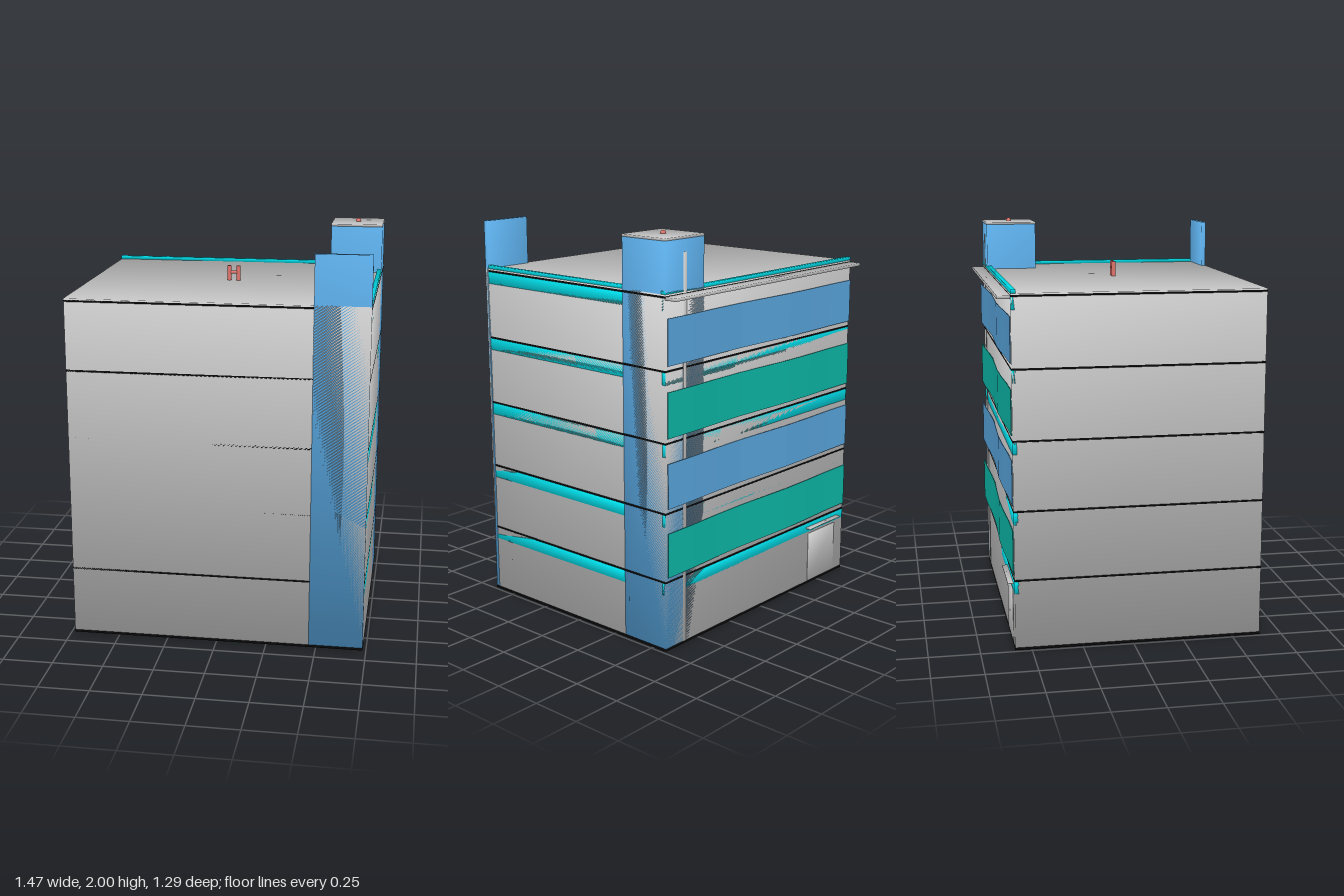
import * as THREE from 'three';

const GREY = 0xcccccc, BLUE = 0x5aaae4, CYAN = 0x00e2ee, PANEL_BLUE = 0x59a6de, TEAL = 0x0cb8a8, RED = 0xe0746c, BLACK = 0x0a0a0a;
const X = 0.733, BACK = -0.58, FRONT = 0.642, ROOF = 1.73, STOREY = 0.342;

export function createModel() {
  const model = new THREE.Group();
  const materials = {};
  const add = (name, geometry, color) => {
    materials[color] ??= new THREE.MeshStandardMaterial({ color });
    const mesh = new THREE.Mesh(geometry, materials[color]);
    mesh.name = name;
    model.add(mesh);
    return mesh;
  };
  // Box given by its limits on each axis, smooth-shaded: each corner normal points diagonally outwards
  const box = (name, color, x0, x1, y0, y1, z0, z1) => {
    const g = new THREE.BoxGeometry(x1 - x0, y1 - y0, z1 - z0);
    const p = g.attributes.position, n = g.attributes.normal, d = 1 / Math.sqrt(3);
    for (let i = 0; i < p.count; i++) {
      n.setXYZ(i, d * Math.sign(p.getX(i)), d * Math.sign(p.getY(i)), d * Math.sign(p.getZ(i)));
    }
    g.translate((x0 + x1) / 2, (y0 + y1) / 2, (z0 + z1) / 2);
    return add(name, g, color);
  };
  const rod = (name, color, r, length, x, y, z) => {
    const mesh = add(name, new THREE.CylinderGeometry(r, r, length, 16), color);
    mesh.position.set(x, y, z);
    return mesh;
  };

  // Corner stair tower and front blade wall, flush with the outer walls
  box('stairTower', BLUE, 0.464, X, 0.005, 1.97, BACK, -0.315);
  box('frontBladeWall', BLUE, 0.464, X, 0.005, 1.97, 0.62, FRONT);

  // Cyan glazing under each upper floor line, flush with the left and back walls
  for (let i = 1; i <= 5; i++) {
    const y = 0.004 + i * STOREY;
    box('sideGlazing', CYAN, X - 0.02, X, y - 0.06, y, -0.315, 0.62);
    box('backGlazing', CYAN, -X, X, y - 0.06, y, BACK, BACK + 0.02);
  }

  // Dark base and floor slabs, showing as lines on the side walls
  box('baseSlab', BLACK, -X - 0.0005, X + 0.0005, 0, 0.012, BACK - 0.0005, FRONT + 0.0005);
  for (let i = 1; i <= 5; i++) {
    const y = 0.004 + i * STOREY;
    box('floorSlab', BLACK, -X - 0.0005, X + 0.0005, y, y + 0.009, BACK - 0.0005, 0.62);
    box('floorSlabFront', BLACK, -X, 0.464, y, y + 0.009, 0.62, FRONT);
  }

  // Main block
  box('building', GREY, -X, X, 0.005, ROOF, BACK, FRONT);

  // Low parapets on the roof edges
  box('backParapet', CYAN, -X, X, ROOF, 1.747, BACK, BACK + 0.024);
  box('sideParapet', CYAN, X - 0.022, X, ROOF, 1.747, -0.315, 0.62);

  // Tower cap with beacon
  box('towerCap', GREY, 0.463, X, 1.97, 1.982, BACK - 0.001, -0.314);
  add('towerBeacon', new THREE.SphereGeometry(0.014, 16, 12), RED).position.set(0.598, 1.984, -0.447);

  // Eave along the top of the back wall
  box('eave', GREY, -X, X, 1.705, 1.72, -0.643, BACK);

  // Gently waving, faceted panels across the back wall
  for (let i = 0; i < 4; i++) {
    const g = new THREE.BoxGeometry(2 * X, 0.22, 0.003, 8, 1, 1).toNonIndexed();
    const p = g.attributes.position;
    for (let k = 0; k < p.count; k++) {
      p.setZ(k, p.getZ(k) + 0.006 * Math.sin(p.getX(k) * 7));
    }
    g.computeVertexNormals();
    add('backPanel', g, i % 2 ? PANEL_BLUE : TEAL).position.set(0, 0.49 + i * 0.341, -0.5895);
  }

  // Flat drain pipe on the tower's back
  box('drainPipe', GREY, 0.588, 0.61, 0.012, 1.91, BACK - 0.002, BACK);

  // Back door and canopy
  box('door', GREY, -0.655, -0.415, 0.014, 0.285, BACK - 0.002, BACK);
  box('doorCanopy', GREY, -0.675, -0.395, 0.317, 0.323, BACK - 0.027, BACK);

  // Rooftop frame: two posts and a crossbar
  for (const x of [-0.027, 0.02]) rod('roofPost', RED, 0.01, 0.075, x, 1.768, 0.03);
  rod('roofCrossbar', RED, 0.008, 0.05, -0.0035, 1.772, 0.03).rotation.z = Math.PI / 2;

  return model;
}
